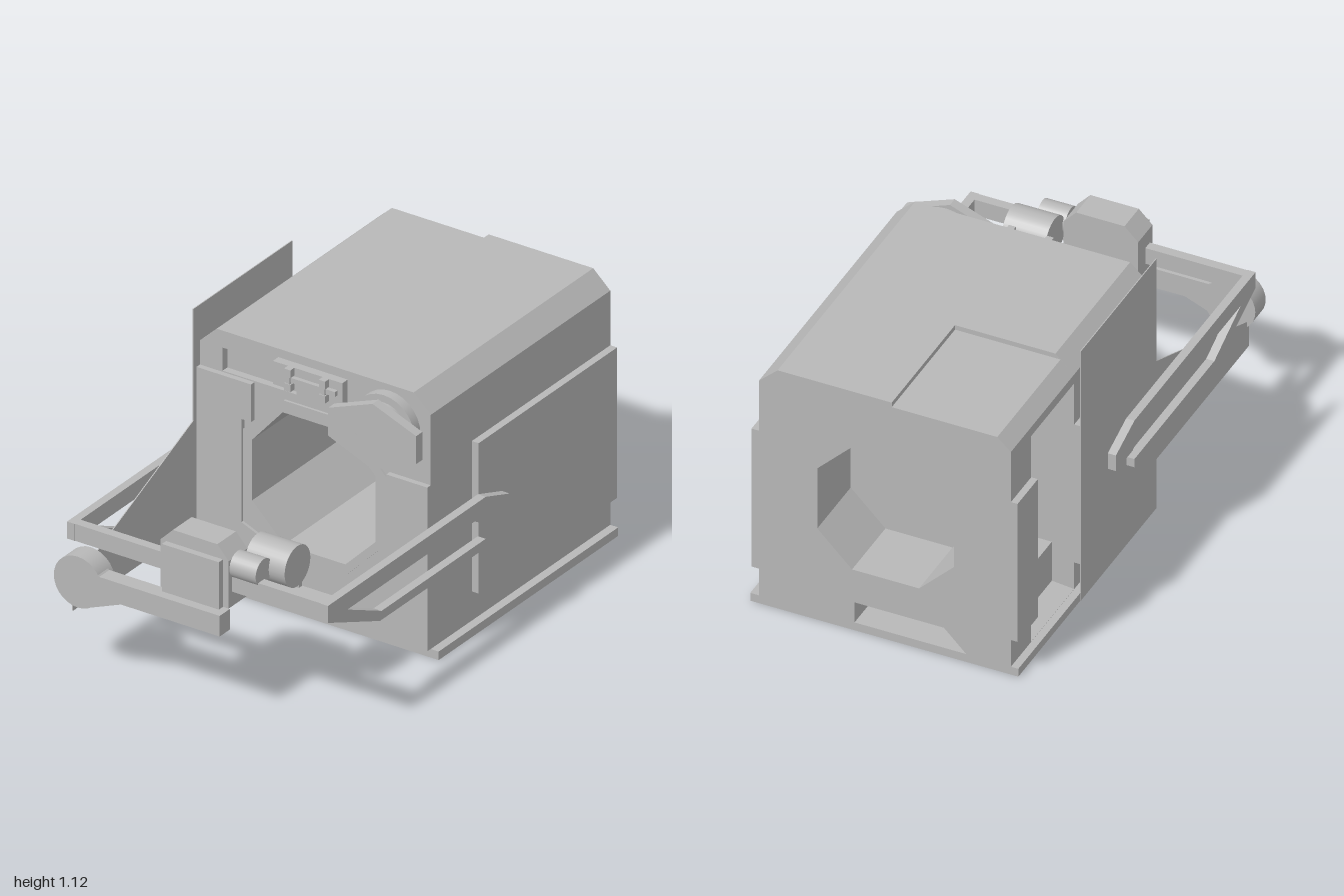
import * as THREE from 'three';

const grey = new THREE.MeshStandardMaterial({ color: 0xb8b8b8 });
grey.name = 'plain grey';

const path = (pts, C = THREE.Shape) => new C(pts.map(p => new THREE.Vector2(p[0], p[1])));

export function createModel() {
  const group = new THREE.Group();
  const add = (name, geo) => {
    const m = new THREE.Mesh(geo, grey);
    m.name = name;
    group.add(m);
    return m;
  };
  // box given by its limits
  const box = (name, x0, x1, y0, y1, z0, z1) =>
    add(name, new THREE.BoxGeometry(x1 - x0, y1 - y0, z1 - z0)
      .translate((x0 + x1) / 2, (y0 + y1) / 2, (z0 + z1) / 2));
  // outline in x,y pushed from z0 to z1
  const slab = (name, pts, z0, z1, holes = []) => {
    const s = path(pts);
    holes.forEach(h => s.holes.push(path(h, THREE.Path)));
    return add(name, new THREE.ExtrudeGeometry(s, { depth: z1 - z0, bevelEnabled: false }).translate(0, 0, z0));
  };
  // outline in z,y pushed from x0 to x1
  const sideSlab = (name, pts, x0, x1) =>
    add(name, new THREE.ExtrudeGeometry(path(pts), { depth: x1 - x0, bevelEnabled: false })
      .rotateY(-Math.PI / 2).translate(x1, 0, 0));
  const rodX = (name, r, x0, x1, y, z) =>
    add(name, new THREE.CylinderGeometry(r, r, x1 - x0, 28).rotateZ(Math.PI / 2).translate((x0 + x1) / 2, y, z));
  const rodZ = (name, r, x, y, z0, z1) =>
    add(name, new THREE.CylinderGeometry(r, r, z1 - z0, 28).rotateX(Math.PI / 2).translate(x, y, (z0 + z1) / 2));

  const octagon = [[-0.28, 0.66], [-0.14, 0.82], [0.13, 0.82], [0.27, 0.68],
    [0.27, 0.41], [0.13, 0.27], [-0.14, 0.27], [-0.28, 0.41]];

  // housing cross-section, with floor channel and optional roof step and side bay
  const section = (roofStep, sideBay) => [
    [-0.51, 0.035], ...(sideBay ? [[-0.32, 0.035], [-0.31, 0.055]] : [[-0.33, 0.035]]),
    [-0.24, 0.125], [0.12, 0.125], [0.12, 0.035],
    [0.505, 0.035], [0.505, 1.0], [0.43, 1.07],
    ...(roofStep ? [[-0.03, 1.07], [-0.03, 1.05], [-0.455, 1.05]] : [[-0.435, 1.07]]),
    [-0.51, 1.0],
    ...(sideBay ? [[-0.51, 0.96], [-0.31, 0.96], [-0.31, 0.056], [-0.51, 0.036]] : []),
  ];
  slab('rearHousing', section(true, false), -1, -0.83, [octagon]);
  slab('openBayHousing', section(true, true), -0.83, -0.47, [octagon]);
  slab('middleHousing', section(false, false), -0.47, 0.125, [octagon]);
  slab('frontHousing', section(false, false), 0.125, 0.155,
    [octagon, [[-0.41, 0.905], [-0.085, 0.905], [-0.085, 1.0], [-0.41, 1.0]]]);
  slab('tunnelPartition', octagon, -0.72, -0.66);
  box('bayLedge', -0.42, -0.31, 0.035, 0.22, -0.72, -0.47);
  box('basePlate', -0.54, 0.54, 0, 0.035, -1, 0.155);

  // raised side panels
  box('leftSidePanel', 0.505, 0.535, 0.155, 0.775, -1, -0.11);
  box('rightRearPanel', -0.537, -0.51, 0.155, 0.775, -1, -0.83);
  box('rightSidePanel', -0.537, -0.51, 0.155, 0.775, -0.47, -0.11);

  // front facing plates and collar
  slab('leftFrontPlate', [[0.505, 0.71], [0.325, 0.71], [0.325, 0.42], [0.12, 0.21],
    [0.12, 0.035], [0.505, 0.035]], 0.155, 0.177);
  slab('rightFrontPlate', [[-0.51, 0.9], [-0.27, 0.9], [-0.27, 0.745], [-0.313, 0.745],
    [-0.313, 0.32], [-0.06, 0.215], [-0.06, 0.125], [-0.51, 0.125]], 0.155, 0.177);
  slab('tunnelCollar', [[-0.313, 0.7], [-0.135, 0.87], [0.14, 0.87], [0.325, 0.68],
    [0.325, 0.42], [0.12, 0.215], [-0.06, 0.215], [-0.313, 0.32]], 0.155, 0.165, [octagon]);

  // thin shield with sloping forward wing
  sideSlab('sideShield', [[0.155, 1.12], [-0.48, 1.12], [-0.48, 0], [0.155, 0], [0.155, 0.22],
    [0.93, 0.22], [0.93, 0.33], [0.155, 0.66]], -0.542, -0.538);

  // latch on the upper front
  box('latchPlate', -0.165, 0.14, 0.94, 1.035, 0.155, 0.19);
  box('latchBar', -0.095, 0.12, 0.98, 1.0, 0.19, 0.207);
  for (const x of [-0.085, 0.068]) {
    box('latchClip', x - 0.014, x + 0.014, 0.945, 0.975, 0.19, 0.215);
    box('latchClip', x - 0.014, x + 0.014, 1.003, 1.035, 0.19, 0.215);
    box('latchClipStem', x - 0.009, x + 0.009, 0.975, 1.003, 0.19, 0.212);
  }

  // six-sided knob on a round stem
  rodZ('knobBase', 0.135, 0.325, 0.91, 0.155, 0.195);
  rodZ('knobStem', 0.105, 0.325, 0.91, 0.195, 0.228);
  slab('knob', [[0.13, 0.965], [0.325, 1.04], [0.517, 0.965], [0.517, 0.85], [0.325, 0.77], [0.13, 0.85]],
    0.226, 0.266,
    [[[0.25, 0.955], [0.325, 0.993], [0.4, 0.955], [0.4, 0.872], [0.325, 0.833], [0.25, 0.872]]]);

  // forked carrying frame
  const fork = [[0.915, 0.57], [-0.1, 0.57], [-0.255, 0.515], [-0.255, 0.445], [-0.115, 0.445],
    [-0.03, 0.5], [0.79, 0.5], [0.57, 0.397], [-0.1, 0.397], [-0.1, 0.36], [0.58, 0.36], [0.915, 0.5]];
  sideSlab('leftFrameArm', fork, 0.538, 0.573);
  sideSlab('rightFrameArm', fork, -0.575, -0.542);
  box('frameCrossbar', -0.542, 0.538, 0.5, 0.57, 0.875, 0.913);

  // hub block on the crossbar
  slab('hubBlock', [[-0.15, 0.44], [0.15, 0.44], [0.15, 0.635], [0.1, 0.69], [-0.095, 0.69], [-0.15, 0.635]],
    0.815, 0.935);
  box('hubCap', -0.125, 0.125, 0.435, 0.635, 0.935, 0.962);

  // swinging handle
  slab('handleBar', [[0.155, 0.355], [0.155, 0.44], [-0.375, 0.44], [-0.42, 0.475],
    [-0.45, 0.287], [-0.28, 0.355]], 0.935, 1.0);
  rodZ('handleDisc', 0.105, -0.47, 0.39, 0.913, 1.0);

  // rollers beside the hub
  rodX('largeRoller', 0.083, 0.16, 0.335, 0.595, 0.763);
  rodX('smallRoller', 0.053, 0.15, 0.265, 0.6, 0.877);

  return group;
}
